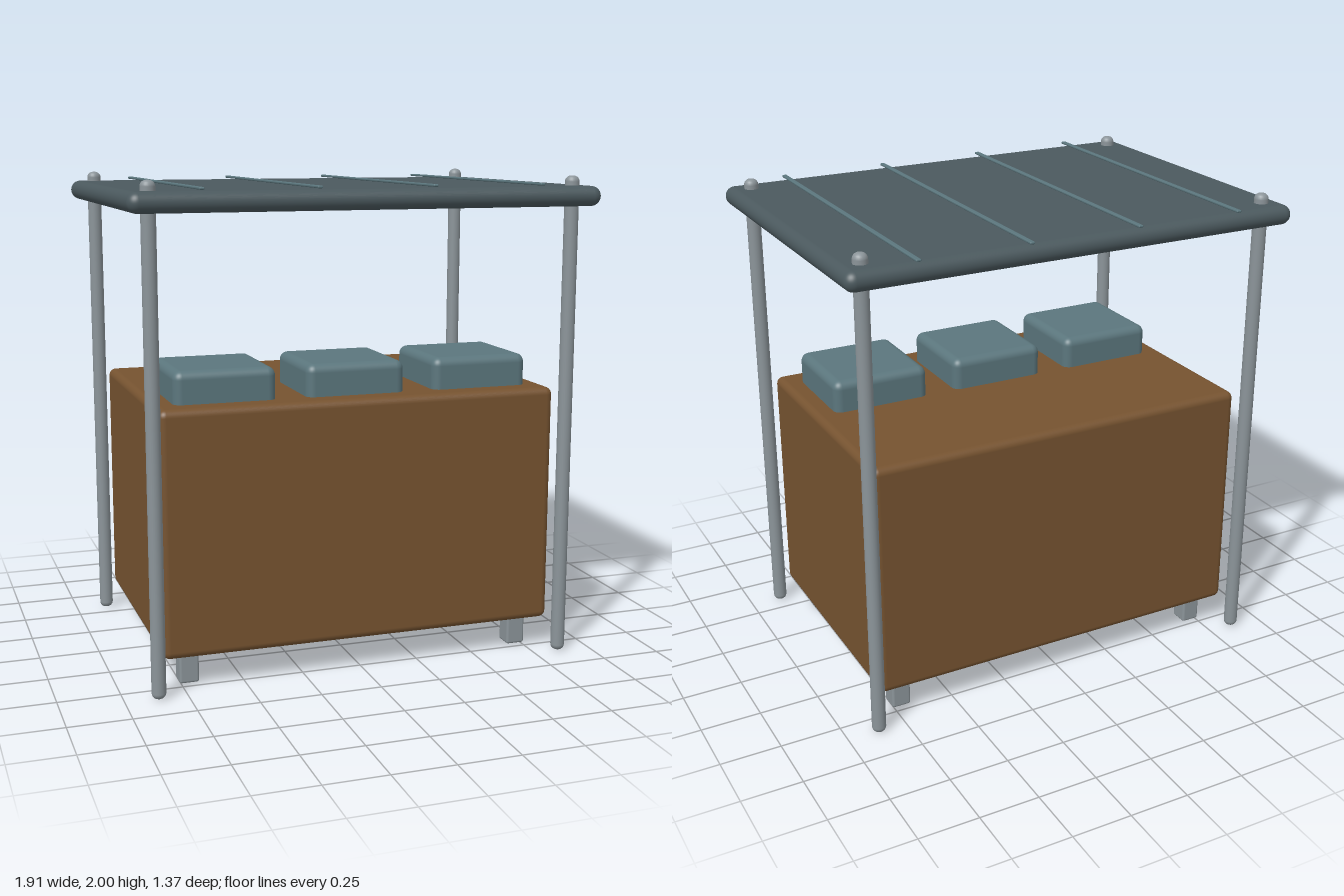
import * as THREE from 'three';
import { RoundedBoxGeometry } from 'three/addons/geometries/RoundedBoxGeometry.js';

const material = (name, color) => {
  const m = new THREE.MeshStandardMaterial({ color });
  m.name = name;
  return m;
};

export function createModel() {
  const group = new THREE.Group();
  const wood = material('brown wood', 0x765330);
  const metal = material('grey metal', 0x8b9499);
  const roof = material('dark slate', 0x4b595e);
  const cloth = material('teal cloth', 0x5b767d);

  const add = (name, geometry, mat, x, y, z) => {
    const mesh = new THREE.Mesh(geometry, mat);
    mesh.name = name;
    mesh.position.set(x, y, z);
    group.add(mesh);
  };

  // Main counter
  add('counter', new RoundedBoxGeometry(1.666, 1, 1.086, 4, 0.03), wood, 0, 0.63, 0);

  // Canopy with fully rounded rim
  add('canopy', new RoundedBoxGeometry(1.914, 0.08, 1.37, 6, 0.0399), roof, 0, 1.92, 0);

  // Thin ribs across the canopy
  const rib = new RoundedBoxGeometry(0.02, 0.01, 1.37, 2, 0.004);
  for (const x of [-0.685, -0.2325, 0.2325, 0.685]) add('canopyRib', rib, cloth, x, 1.97, 0);

  // Pole profile: straight shaft with rounded ends
  const r = 0.029, round = 0.024, profile = [new THREE.Vector2(0, 0)];
  for (let end = 0; end < 2; end++) {
    for (let i = 0; i <= 5; i++) {
      const a = (end ? i : i - 5) * Math.PI / 10;
      profile.push(new THREE.Vector2(
        r - round + round * Math.cos(a),
        (end ? 2 - round : round) + round * Math.sin(a)));
    }
  }
  profile.push(new THREE.Vector2(0, 2));
  const pole = new THREE.LatheGeometry(profile, 24);
  const foot = new RoundedBoxGeometry(0.08, 0.15, 0.08, 3, 0.01);

  // Poles and feet at the four corners
  for (const sx of [-1, 1]) {
    for (const sz of [-1, 1]) {
      add('pole', pole, metal, sx * 0.865, 0, sz * 0.585);
      add('foot', foot, metal, sx * 0.718, 0.08, sz * 0.442);
    }
  }

  // Three padded bundles near the front edge
  const cushion = new RoundedBoxGeometry(0.416, 0.18, 0.416, 5, 0.035);
  for (const x of [-0.543, 0, 0.543]) add('cushion', cushion, cloth, x, 1.171, 0.237);

  return group;
}
